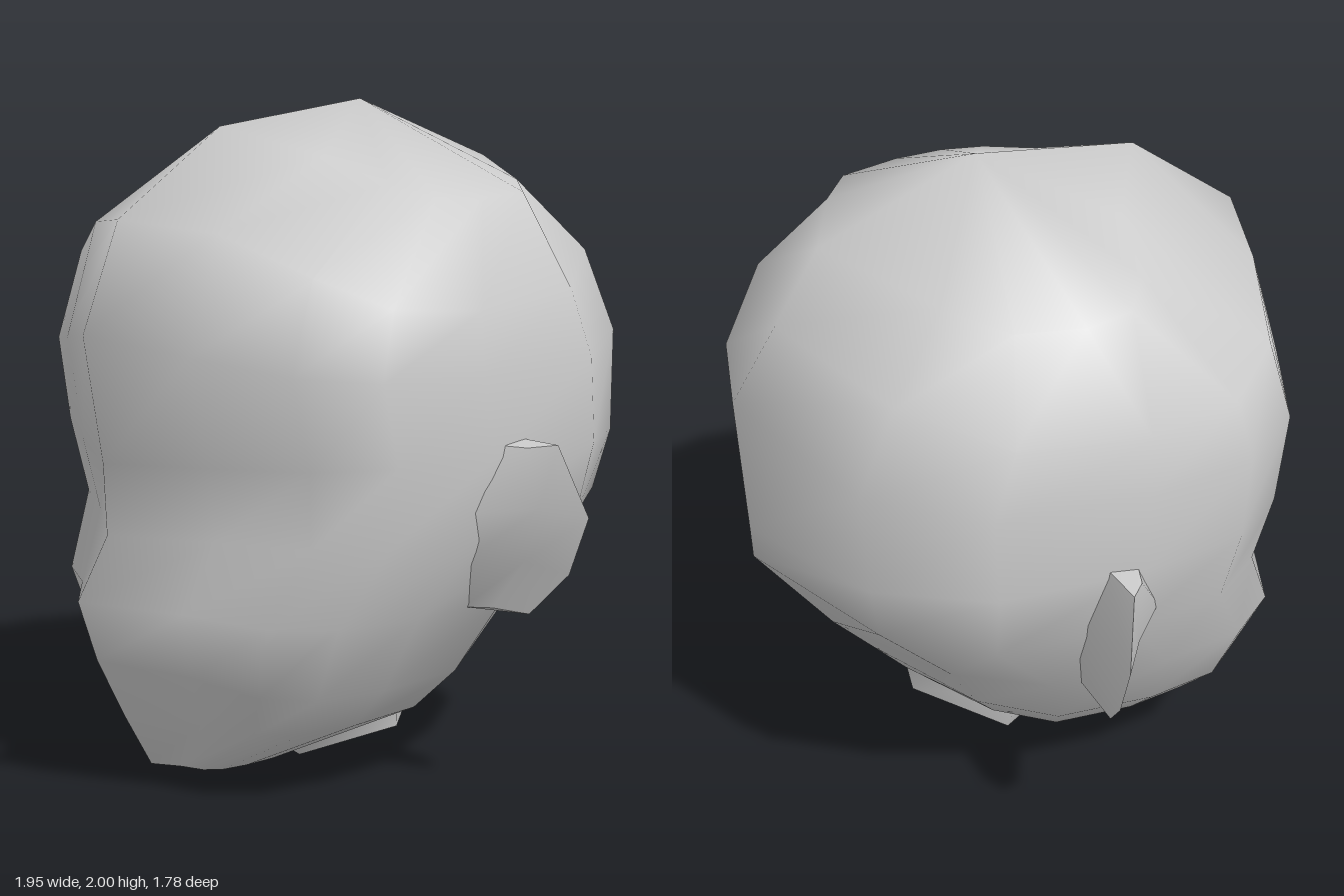
import * as THREE from 'three';

const clay = new THREE.MeshStandardMaterial({ color: 0xcccccc, side: THREE.DoubleSide });
clay.name = 'clayGrey';

function makeMesh(name, points, index) {
  const g = new THREE.BufferGeometry();
  g.setAttribute('position', new THREE.Float32BufferAttribute(points.flat(), 3));
  g.setIndex(index);
  g.computeVertexNormals();
  const mesh = new THREE.Mesh(g, clay);
  mesh.name = name;
  return mesh;
}

// Faces joining rows of equal length, listed from top to bottom
function stitch(rows, cols, closed) {
  const index = [];
  for (let i = 0; i < rows - 1; i++) {
    for (let j = 0; j < (closed ? cols : cols - 1); j++) {
      const k = (j + 1) % cols;
      const a = i * cols + j, b = i * cols + k;
      index.push(a, a + cols, b, b, a + cols, b + cols);
    }
  }
  return index;
}

// Half outline of a skull section, front to back, as fractions of width and depth
const half = [[0, 1], [0.42, 0.84], [0.8, 0.68], [0.97, 0.44], [1, 0.05], [0.92, -0.47], [0.63, -0.81], [0, -1]];
const outline = [...half, ...half.slice(1, -1).reverse().map(([x, z]) => [-x, z])];

// Sections: front z, front y, back z, back y, half width, side y,
// pinch (flattens the corners toward a diamond), bend (how late the height changes toward the side)
const sections = [
  [0.39, 1.925, -0.61, 1.82, 0.6, 1.73, 0.76, 1],
  [0.74, 1.67, -0.75, 1.61, 0.75, 1.43, 1, 2.5],
  [0.86, 1.35, -0.89, 1.4, 0.765, 1.25, 1, 1],
  [0.8, 0.98, -0.865, 0.97, 0.785, 1.02, 1, 1],
  [0.79, 0.77, -0.86, 0.87, 0.73, 0.79, 0.95, 1],
  [0.89, 0.59, -0.62, 0.55, 0.65, 0.56, 0.91, 1],
  [0.83, 0.41, -0.49, 0.41, 0.53, 0.33, 0.88, 1],
  [0.74, 0.23, -0.38, 0.29, 0.4, 0.2, 0.85, 1],
  [0.65, 0.07, 0.2, 0.05, 0.18, 0.07, 0.9, 1],
];

function makeHead() {
  const n = outline.length;
  const points = [];
  for (const [zf, yf, zb, yb, w, ys, pinch, bend] of sections) {
    const mid = (zf + zb) / 2, depth = (zf - zb) / 2;
    for (const [x, z] of outline) {
      const end = z > 0 ? yf : yb;
      const y = end + (ys - end) * Math.abs(x) ** bend;
      points.push([x * w, y, mid + z * depth * (x === 0 ? 1 : pinch)]);
    }
  }
  const index = stitch(sections.length, n, true);
  // crown and underside of the chin
  const last = (sections.length - 1) * n;
  const top = points.push([0, 2, -0.12]) - 1;
  const bottom = points.push([0, 0.04, 0.5]) - 1;
  for (let j = 0; j < n; j++) {
    const k = (j + 1) % n;
    index.push(top, j, k, bottom, last + k, last + j);
  }
  return makeMesh('head', points, index);
}

// Cupped flap swept back from the side of the head
function makeEar(side, dy, dz) {
  const rows = [ // front root, fold, rim, back root
    [[0.74, 1.05, -0.02], [0.84, 1.05, -0.06], [0.9, 1.06, -0.12], [0.74, 1.06, -0.12]],
    [[0.72, 0.86, 0.07], [0.87, 0.88, -0.08], [0.975, 0.86, -0.17], [0.7, 0.86, -0.16]],
    [[0.66, 0.7, 0.04], [0.81, 0.72, -0.08], [0.91, 0.69, -0.16], [0.64, 0.7, -0.15]],
    [[0.61, 0.56, -0.03], [0.7, 0.57, -0.06], [0.79, 0.56, -0.12], [0.58, 0.56, -0.11]],
  ];
  const place = ([x, y, z]) => [side * x, y + dy, z + dz];
  const turn = (list) => (side > 0 ? list : list.slice().reverse());
  const ear = new THREE.Group();
  ear.name = side > 0 ? 'leftEar' : 'rightEar';
  const panels = [['earFront', 0, 3], ['earBack', 2, 4]];
  for (const [name, from, to] of panels) {
    const points = rows.flatMap((r) => r.slice(from, to).map(place));
    ear.add(makeMesh(name, points, turn(stitch(rows.length, to - from, false))));
  }
  // closed top and bottom of the flap
  ear.add(makeMesh('earTop', rows[0].map(place), turn([0, 1, 2, 0, 2, 3])));
  ear.add(makeMesh('earBottom', rows[3].map(place), turn([0, 2, 1, 0, 3, 2])));
  return ear;
}

// Short diamond-shaped stub with a slanted flat end
function makeNeck() {
  const upper = [[0, 0.06, 0.2], [0.22, 0.22, -0.1], [0, 0.3, -0.38], [-0.22, 0.22, -0.1]];
  const lower = [[0, 0, 0.11], [0.19, 0.095, -0.12], [0, 0.2, -0.36], [-0.19, 0.095, -0.12]];
  const neck = new THREE.Group();
  neck.name = 'neck';
  neck.add(makeMesh('neckSides', [...upper, ...lower], stitch(2, 4, true)));
  neck.add(makeMesh('neckEnd', lower, [0, 2, 1, 0, 3, 2]));
  return neck;
}

export function createModel() {
  const model = new THREE.Group();
  model.name = 'headModel';
  model.add(makeHead(), makeEar(1, 0, 0), makeEar(-1, -0.02, 0.02), makeNeck());
  return model;
}
